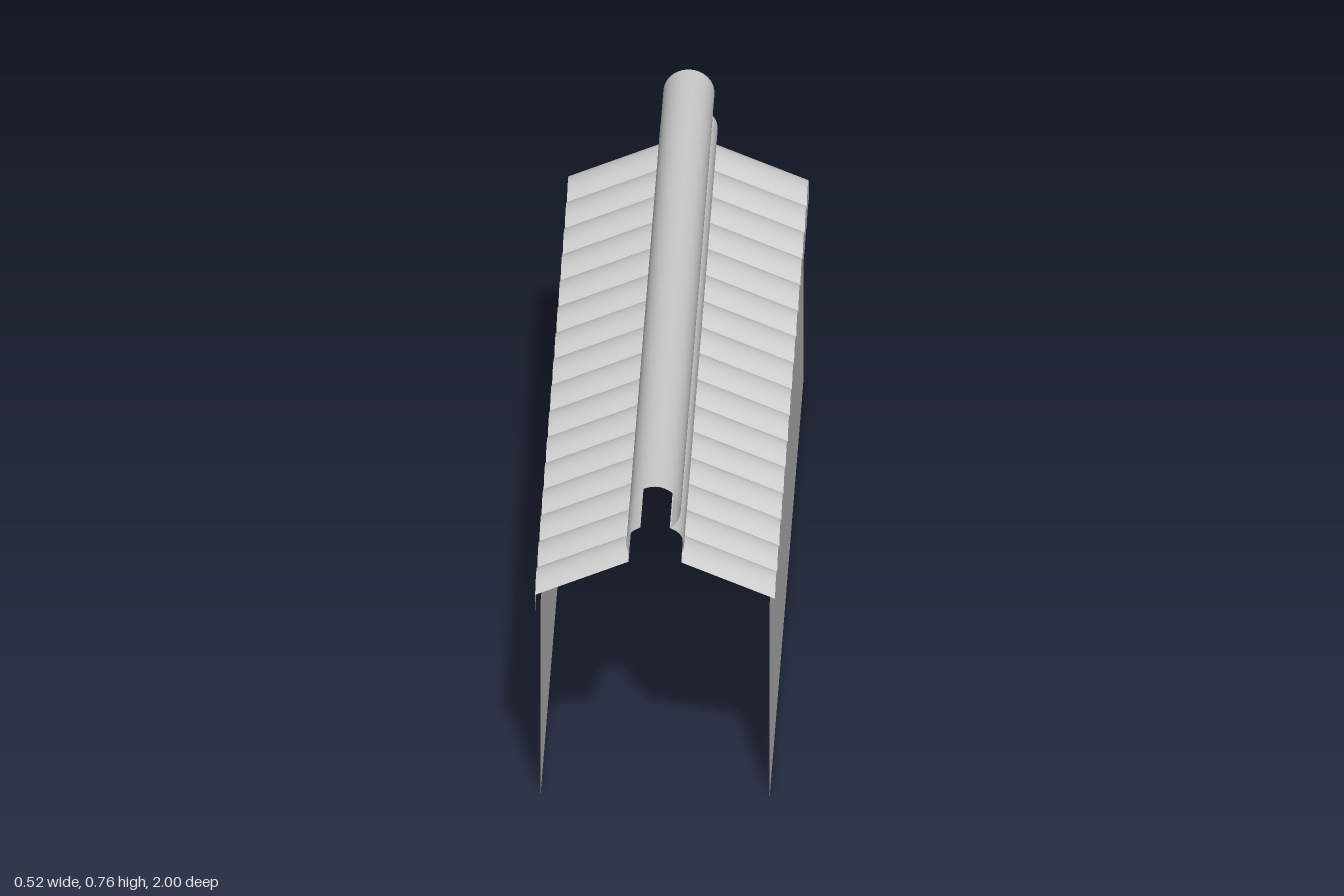
import * as THREE from 'three';

const material = new THREE.MeshStandardMaterial({ color: 0xcccccc, side: THREE.DoubleSide });
const LENGTH = 2, TILES = 16, PITCH = LENGTH / TILES;

// Smooth open surface from a rule point(u, v) -> [x, y, z], u and v in 0..1
function sheet(name, nu, nv, point) {
  const positions = [], index = [];
  for (let j = 0; j <= nv; j++)
    for (let i = 0; i <= nu; i++) positions.push(...point(i / nu, j / nv));
  for (let j = 0; j < nv; j++)
    for (let i = 0; i < nu; i++) {
      const a = j * (nu + 1) + i, b = a + 1, c = a + nu + 1, d = c + 1;
      index.push(a, b, c, b, d, c);
    }
  const geometry = new THREE.BufferGeometry();
  geometry.setAttribute('position', new THREE.Float32BufferAttribute(positions, 3));
  geometry.setIndex(index);
  geometry.computeVertexNormals();
  const mesh = new THREE.Mesh(geometry, material);
  mesh.name = name;
  return mesh;
}

// Arch across one tile: 0 in the valleys, 1 on the crown
const arch = (u) => 1 - Math.pow(Math.abs(2 * u - 1), 2.2);

function createSide(s) {
  const side = new THREE.Group();
  side.name = s > 0 ? 'leftSide' : 'rightSide';

  // Flat wall below the eave
  side.add(sheet('wall', 1, 1, (u, v) => [s * 0.25, 0.475 * v, s * (1 - LENGTH * u)]));

  for (let k = 0; k < TILES; k++) {
    const zAt = (u) => s * (1 - (k + u) * PITCH);
    // Arched roof tile sloping from the ridge to the eave
    side.add(sheet('roofTile', 8, 1, (u, v) => [
      s * (0.262 + (0.058 - 0.262) * v),
      0.49 + 0.085 * v + 0.024 * arch(u),
      zAt(u),
    ]));
    // Scalloped eave board under the tile's end
    side.add(sheet('eaveBoard', 8, 1, (u, v) => [
      s * 0.262,
      (1 - v) * (0.446 + 0.009 * arch(u)) + v * (0.49 + 0.024 * arch(u)),
      zAt(u),
    ]));
  }

  // Bulging lower moulding, from the tiles up to the neck of the ridge
  const moulding = new THREE.SplineCurve([
    [0.058, 0.575], [0.058, 0.597], [0.063, 0.613], [0.06, 0.634], [0.05, 0.649], [0.032, 0.66],
  ].map(([x, y]) => new THREE.Vector2(x, y)));
  side.add(sheet('ridgeMoulding', 1, 14, (u, v) => {
    const p = moulding.getPoint(v);
    return [s * p.x, p.y, s * (1 - LENGTH * u)];
  }));
  return side;
}

export function createModel() {
  const model = new THREE.Group();
  model.name = 'tiledWallCap';
  model.add(createSide(1), createSide(-1));

  // Round ridge roll, open along its underside and at both ends
  const radius = 0.056, centre = 0.704, start = Math.asin((0.66 - centre) / radius);
  model.add(sheet('ridgeRoll', 1, 24, (u, v) => {
    const a = start + v * (Math.PI - 2 * start);
    return [radius * Math.cos(a), centre + radius * Math.sin(a), 1 - LENGTH * u];
  }));
  return model;
}
